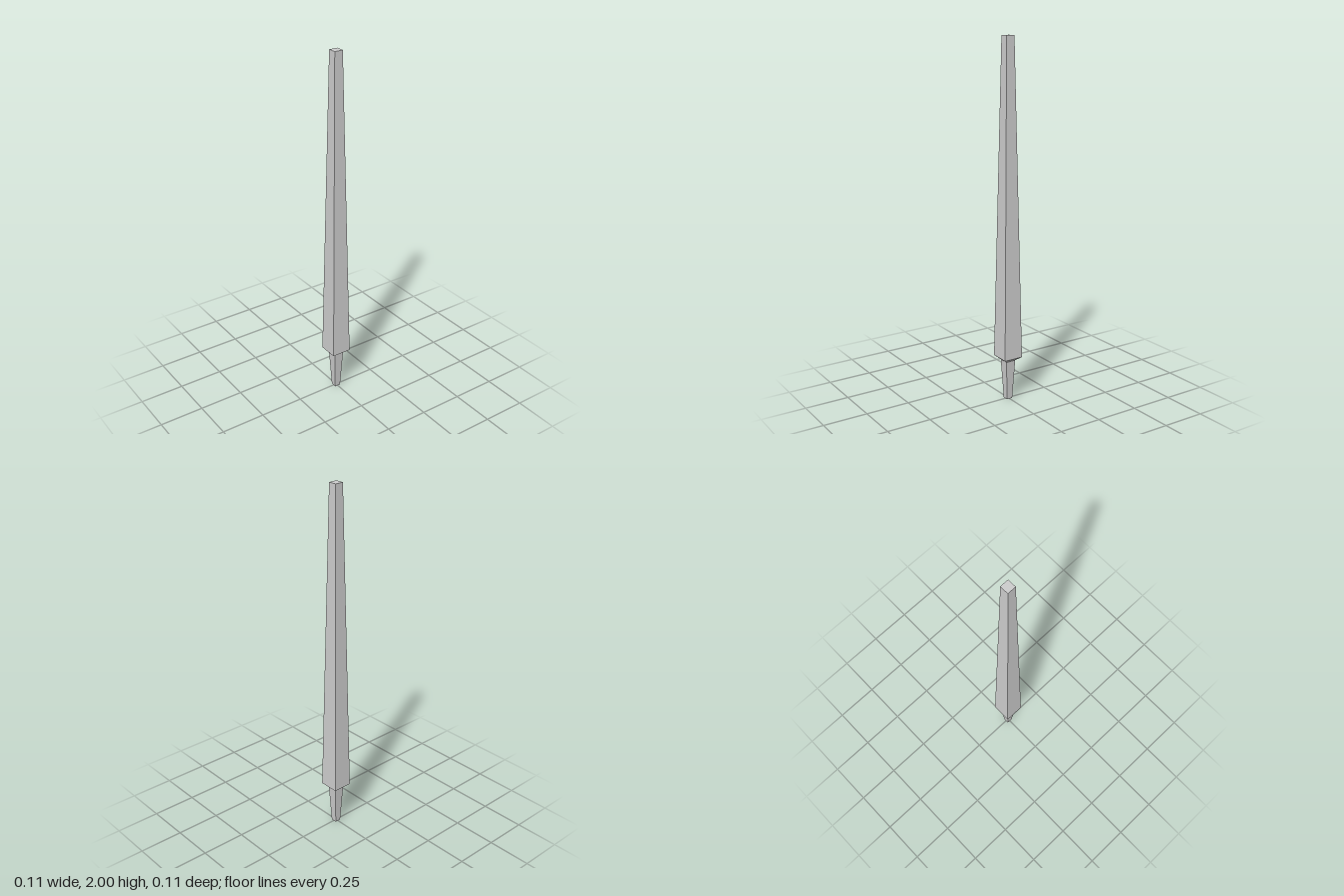
import * as THREE from 'three';

const material = new THREE.MeshStandardMaterial({ color: 0xcccccc, flatShading: true });

// Square tapered section between heights y0 and y1, given half widths at each end
function taper(name, y0, half0, y1, half1, open) {
  const geometry = new THREE.CylinderGeometry(half1 * Math.SQRT2, half0 * Math.SQRT2, y1 - y0, 4, 1, open);
  geometry.rotateY(Math.PI / 4);
  geometry.translate(0, (y0 + y1) / 2, 0);
  const mesh = new THREE.Mesh(geometry, material);
  mesh.name = name;
  return mesh;
}

// Flat square end cap, facing up (+1) or down (-1)
function cap(name, y, half, facing) {
  const geometry = new THREE.PlaneGeometry(half * 2, half * 2);
  geometry.rotateX(-facing * Math.PI / 2);
  geometry.translate(0, y, 0);
  const mesh = new THREE.Mesh(geometry, material);
  mesh.name = name;
  return mesh;
}

export function createModel() {
  const group = new THREE.Group();
  group.name = 'taperedPost';
  group.add(
    cap('footCap', 0, 0.017, -1),
    taper('foot', 0, 0.017, 0.228, 0.029, true),
    taper('shoulder', 0.228, 0.029, 0.25, 0.056, true),
    taper('shaft', 0.25, 0.056, 2, 0.024, true),
    cap('topCap', 2, 0.024, 1),
  );
  return group;
}
